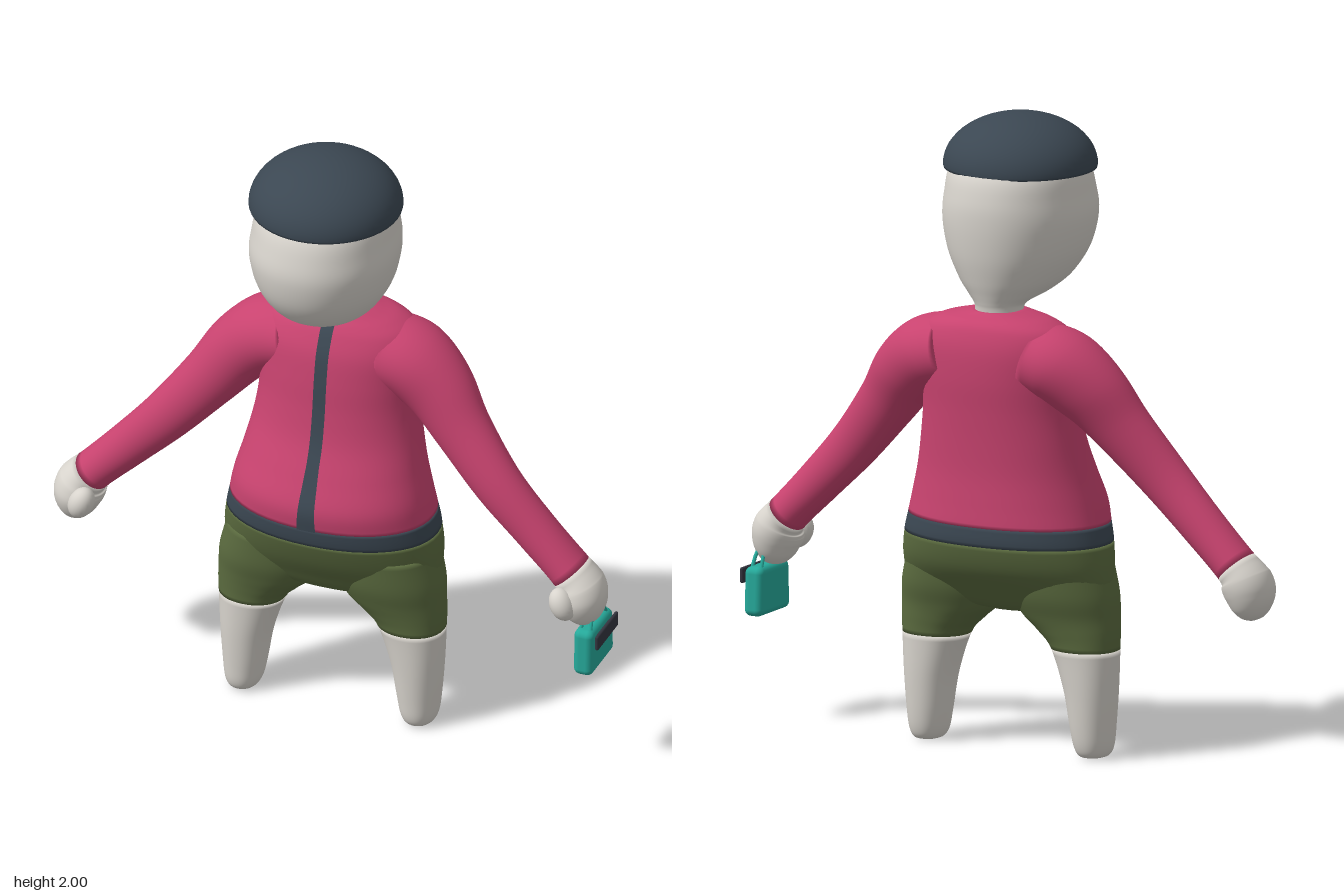
import * as THREE from 'three';
import { RoundedBoxGeometry } from 'three/addons/geometries/RoundedBoxGeometry.js';

const mat = (name, color, side = THREE.FrontSide) => {
  const m = new THREE.MeshStandardMaterial({ color, side });
  m.name = name;
  return m;
};

// Smooth curves through section rows [x, y, z, halfWidth, halfDepth]
function curves(rows) {
  const make = pts => new THREE.CatmullRomCurve3(pts, false, 'catmullrom', 0.5);
  return {
    pos: make(rows.map(r => new THREE.Vector3(r[0], r[1], r[2]))),
    rad: make(rows.map(r => new THREE.Vector3(r[3], r[4], 0))),
    last: rows.length - 1,
  };
}

// Closed skin over the sections from row i0 to row i1; level keeps rings horizontal
function loft(rows, i0, i1, { level = true, power = 2, seg = 48, step = 6 } = {}) {
  const { pos, rad, last } = curves(rows);
  const n = (i1 - i0) * step, verts = [], index = [];
  const ring = (t, k) => {
    const p = pos.getPoint(t), r = rad.getPoint(t), d = pos.getTangent(t);
    const len = Math.hypot(d.x, d.y);
    const ux = level ? 1 : d.y / len, uy = level ? 0 : -d.x / len;
    for (let j = 0; j < seg; j++) {
      const a = (j / seg) * Math.PI * 2, c = Math.cos(a), s = Math.sin(a);
      const u = Math.sign(c) * Math.abs(c) ** (2 / power) * Math.max(r.x, 0) * k;
      const w = Math.sign(s) * Math.abs(s) ** (2 / power) * Math.max(r.y, 0) * k;
      verts.push(p.x + ux * u, p.y + uy * u, p.z + w);
    }
  };
  const at = i => (i0 + i / step) / last;
  ring(at(0), 0);
  for (let i = 0; i <= n; i++) ring(at(i), 1);
  ring(at(n), 0);
  for (let i = 0; i < n + 2; i++) for (let j = 0; j < seg; j++) {
    const a = i * seg + j, b = i * seg + (j + 1) % seg, c = a + seg, d = b + seg;
    index.push(a, c, b, b, c, d);
  }
  const g = new THREE.BufferGeometry();
  g.setAttribute('position', new THREE.Float32BufferAttribute(verts, 3));
  g.setIndex(index);
  g.computeVertexNormals();
  return g;
}

// Section row from height, x range and z range
const span = (y, x0, x1, zf, zb) => [(x0 + x1) / 2, y, (zf + zb) / 2, (x1 - x0) / 2, (zf - zb) / 2];
const even = ([y, w, zf, zb]) => span(y, -w, w, zf, zb);

const BODY = [
  [0.445, 0.08, 0.0, -0.08], [0.47, 0.26, 0.06, -0.14], [0.53, 0.345, 0.10, -0.195],
  [0.60, 0.355, 0.14, -0.25], [0.68, 0.345, 0.17, -0.278], [0.74, 0.332, 0.178, -0.278],
  [0.81, 0.317, 0.178, -0.272], [0.90, 0.293, 0.14, -0.266], [1.0, 0.272, 0.097, -0.268],
  [1.1, 0.258, 0.075, -0.274], [1.2, 0.258, 0.062, -0.282], [1.29, 0.262, 0.045, -0.28],
  [1.35, 0.24, 0.018, -0.265], [1.38, 0.19, -0.004, -0.245], [1.395, 0.13, -0.022, -0.215],
  [1.405, 0.078, -0.034, -0.197],
].map(even);

const HEAD = [
  [1.36, 0.074, -0.04, -0.19], [1.41, 0.073, -0.033, -0.195], [1.43, 0.083, 0.005, -0.2],
  [1.455, 0.118, 0.115, -0.208], [1.5, 0.163, 0.2, -0.222], [1.58, 0.207, 0.26, -0.24],
  [1.68, 0.229, 0.285, -0.25], [1.76, 0.222, 0.275, -0.246], [1.84, 0.205, 0.242, -0.22],
  [1.89, 0.15, 0.17, -0.15],
].map(even);

const LEG = [
  [0.004, 0.265, 0.32, 0.0, -0.07], [0.012, 0.248, 0.338, 0.022, -0.095],
  [0.04, 0.234, 0.35, 0.036, -0.11], [0.1, 0.222, 0.357, 0.042, -0.12],
  [0.22, 0.2, 0.366, 0.05, -0.13], [0.345, 0.155, 0.372, 0.057, -0.138],
  [0.40, 0.105, 0.374, 0.066, -0.147], [0.45, 0.05, 0.372, 0.08, -0.16],
  [0.52, 0.02, 0.366, 0.1, -0.185], [0.62, 0.02, 0.34, 0.11, -0.2],
].map(r => span(...r));

const ARM = [
  [0.15, 1.265, -0.125, 0.115, 0.145], [0.24, 1.24, -0.125, 0.12, 0.138],
  [0.33, 1.17, -0.11, 0.112, 0.112], [0.42, 1.06, -0.078, 0.095, 0.084],
  [0.55, 0.91, -0.045, 0.081, 0.069], [0.68, 0.775, -0.038, 0.071, 0.067],
  [0.798, 0.656, -0.035, 0.066, 0.075], [0.828, 0.615, -0.03, 0.079, 0.088],
  [0.84, 0.575, -0.025, 0.078, 0.088], [0.846, 0.53, -0.025, 0.06, 0.07],
  [0.849, 0.502, -0.025, 0.035, 0.043], [0.85, 0.492, -0.025, 0.01, 0.015],
];

export function createModel() {
  const skin = mat('skin', 0xd8d4cd), shirt = mat('shirt pink', 0xc8436f);
  const shorts = mat('shorts green', 0x5b6b3f), charcoal = mat('charcoal', 0x3b4752, THREE.DoubleSide);
  const teal = mat('bag teal', 0x26aa9b), dark = mat('bag band dark', 0x34353f);

  const model = new THREE.Group();
  model.name = 'figure';
  const add = (name, geo, material, parent = model) => {
    const m = new THREE.Mesh(geo, material);
    m.name = name;
    parent.add(m);
    return m;
  };

  // Trunk: shorts, belt and jacket share one continuous profile
  add('shortsSeat', loft(BODY, 0, 4, { power: 2.15 }), shorts);
  add('belt', loft(BODY, 4, 5, { power: 2.15 }), charcoal);
  add('jacket', loft(BODY, 5, 15, { power: 2.15 }), shirt);

  // Zip strip following the front of the jacket
  const { pos, rad, last } = curves(BODY);
  const zip = new THREE.PlaneGeometry(1, 1, 4, 60), zp = zip.attributes.position;
  for (let i = 0; i < zp.count; i++) {
    const v = zp.getY(i) + 0.5, t = (5 + v * 10) / last;
    const p = pos.getPoint(t), r = rad.getPoint(t);
    const half = 0.021 + 0.01 * Math.max(0, 1 - (p.y - 0.74) / 0.2);
    const x = zp.getX(i) * 2 * half;
    const z = p.z + r.y * (1 - (Math.abs(x) / r.x) ** 2.15) ** (1 / 2.15);
    zp.setXYZ(i, x, p.y + 0.002 * v, z + 0.005);
  }
  zip.computeVertexNormals();
  add('zipStrip', zip, charcoal);

  // Head and cap
  add('head', loft(HEAD, 0, 9, { power: 2.1 }), skin);
  const capProfile = [new THREE.Vector2(0, 0), new THREE.Vector2(0.238, 0)];
  for (let i = 0; i <= 16; i++) {
    const a = (i / 16) * Math.PI / 2;
    capProfile.push(new THREE.Vector2(0.24 * Math.cos(a), 0.008 + 0.162 * Math.sin(a)));
  }
  const cap = add('cap', new THREE.LatheGeometry(capProfile, 48), charcoal);
  cap.position.set(0, 1.83, 0.016);

  // Mirrored limbs
  for (const [side, s] of [['left', 1], ['right', -1]]) {
    const mirror = rows => rows.map(([x, ...rest]) => [x * s, ...rest]);
    const leg = mirror(LEG), arm = mirror(ARM);
    add(side + 'Leg', loft(leg, 0, 5, { power: 2.15 }), skin);
    add(side + 'ShortsLeg', loft(leg, 5, 9, { power: 2.15 }), shorts);
    add(side + 'Sleeve', loft(arm, 0, 6, { level: false }), shirt);
    add(side + 'Hand', loft(arm, 6, 11, { level: false }), skin);
    const thumb = add(side + 'Thumb', new THREE.SphereGeometry(1, 24, 16), skin);
    thumb.scale.set(0.04, 0.055, 0.042);
    thumb.position.set(0.802 * s, 0.585, 0.05);
    thumb.rotation.z = 0.4 * s;
  }

  // Small bag hanging from the left hand
  const bag = new THREE.Group();
  bag.name = 'bag';
  bag.position.set(0.868, 0.418, -0.042);
  model.add(bag);
  const body = new RoundedBoxGeometry(0.065, 0.156, 0.19, 4, 0.022), bp = body.attributes.position;
  for (let i = 0; i < bp.count; i++) bp.setZ(i, bp.getZ(i) * (1 - 0.5 * bp.getY(i)));
  add('bagBody', body, teal, bag);
  const band = add('bagBand', new RoundedBoxGeometry(0.012, 0.05, 0.17, 4, 0.006), dark, bag);
  band.position.set(0.046, 0.046, 0.004);
  const link = add('bandMount', new THREE.BoxGeometry(0.014, 0.02, 0.1), dark, bag);
  link.position.set(0.035, 0.046, 0.004);
  for (const x of [-0.016, 0.016]) {
    const path = new THREE.CatmullRomCurve3([
      new THREE.Vector3(x, 0.07, 0.065), new THREE.Vector3(x * 0.8, 0.115, 0.04),
      new THREE.Vector3(x * 0.5, 0.135, 0), new THREE.Vector3(x * 0.8, 0.115, -0.04),
      new THREE.Vector3(x, 0.07, -0.065),
    ]);
    add('bagHandle', new THREE.TubeGeometry(path, 24, 0.006, 8), teal, bag);
  }
  return model;
}
